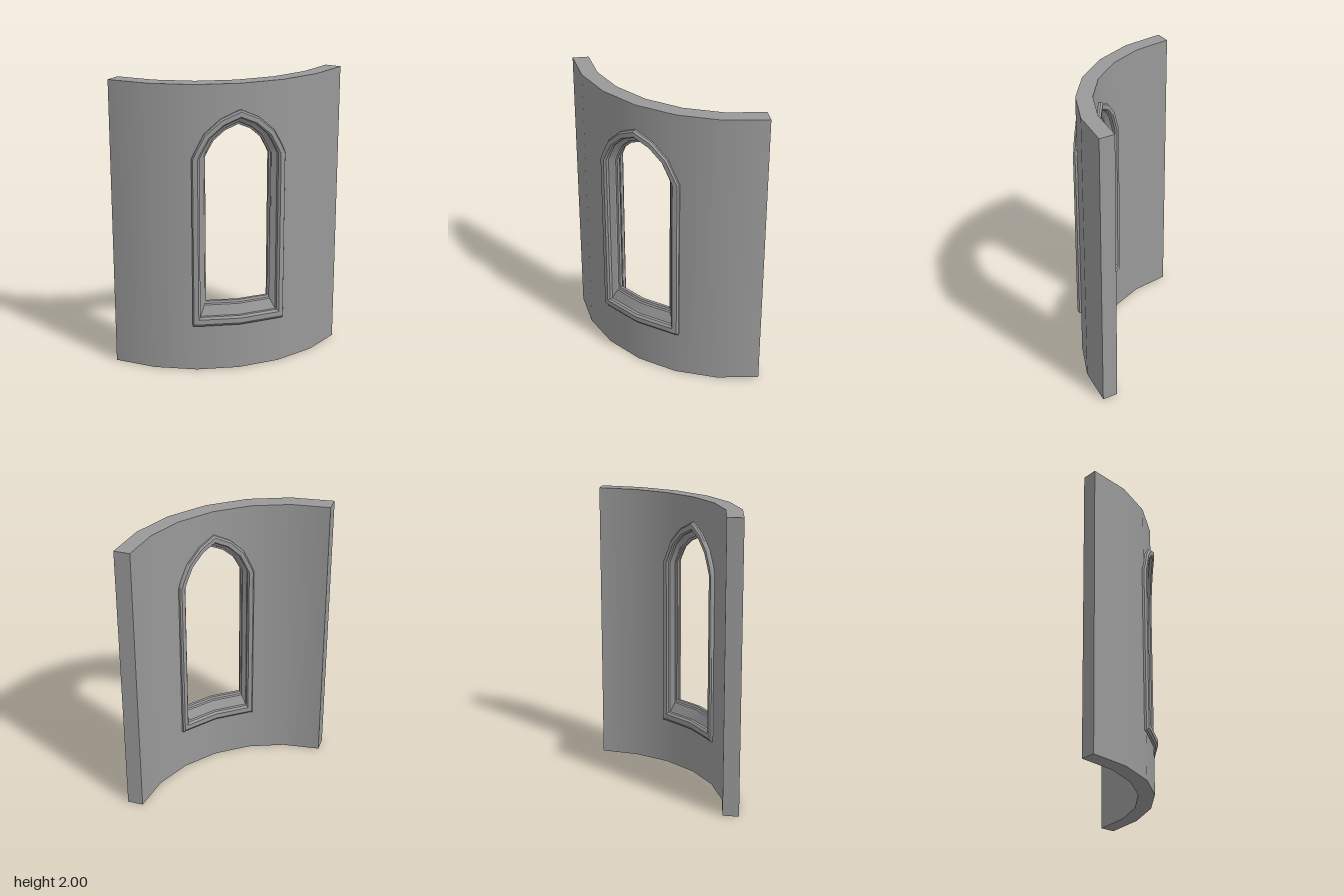
import * as THREE from 'three';
import { toCreasedNormals } from 'three/addons/utils/BufferGeometryUtils.js';

const CENTRE = -0.565, R_OUT = 1.13, R_IN = 1.02, HEIGHT = 2, STEP = 15;
const material = new THREE.MeshStandardMaterial({ color: 0x999999 });

// Radial direction; d is degrees from the middle of the wall, growing towards +x
function radial(d) {
  const t = THREE.MathUtils.degToRad(45 - d);
  return new THREE.Vector3(Math.cos(t), 0, Math.sin(t));
}

// Point on the faceted curve: straight chords between 15-degree steps
function bend(d, y, r) {
  const d0 = Math.min(Math.floor(d / STEP + 1e-6) * STEP, 45 - STEP);
  const p = radial(d0).lerp(radial(d0 + STEP), (d - d0) / STEP).multiplyScalar(r);
  return p.set(p.x + CENTRE, y, p.z + CENTRE);
}

// Collects quads, with given corner normals or a flat one
class Quads {
  pos = [];
  nor = [];
  add(p, n) {
    if (!n) {
      const flat = p[2].clone().sub(p[0]).cross(p[3].clone().sub(p[1])).normalize();
      n = [flat, flat, flat, flat];
    }
    for (const i of [0, 1, 2, 0, 2, 3]) {
      this.pos.push(p[i].x, p[i].y, p[i].z);
      this.nor.push(n[i].x, n[i].y, n[i].z);
    }
  }
  geometry() {
    const g = new THREE.BufferGeometry();
    g.setAttribute('position', new THREE.Float32BufferAttribute(this.pos, 3));
    g.setAttribute('normal', new THREE.Float32BufferAttribute(this.nor, 3));
    return g;
  }
}

// Half of the pointed arch: [width fraction, height fraction]
const ARCH = [[1, 0], [0.92, 0.17], [0.74, 0.51], [0.4, 0.815], [0, 1]];

// Curved wall made of vertical strips, leaving the pointed opening free
function wallGeometry() {
  const q = new Quads();
  const hole = { half: 15, bottom: 0.36, spring: 1.51, apex: 1.8 };

  const panel = (d0, d1, low0, low1, high0, high1) => {
    const corners = [[d0, low0], [d1, low1], [d1, high1], [d0, high0]];
    q.add(corners.map(([d, y]) => bend(d, y, R_OUT)), corners.map(([d]) => radial(d)));
    corners.reverse();
    q.add(corners.map(([d, y]) => bend(d, y, R_IN)), corners.map(([d]) => radial(d).negate()));
  };

  // Solid strips beside the opening
  for (const d of [-45, -30, 15, 30]) panel(d, d + STEP, 0, 0, HEIGHT, HEIGHT);

  // Strips under and over the opening
  const edge = ARCH.map(([w, h]) => [w * hole.half, hole.spring + h * (hole.apex - hole.spring)]);
  for (let i = 0; i < edge.length - 1; i++) {
    const [a, ya] = edge[i], [b, yb] = edge[i + 1];
    panel(-a, -b, 0, 0, hole.bottom, hole.bottom);
    panel(b, a, 0, 0, hole.bottom, hole.bottom);
    panel(-a, -b, ya, yb, HEIGHT, HEIGHT);
    panel(b, a, yb, ya, HEIGHT, HEIGHT);
  }

  // Top and bottom caps
  for (let d = -45; d < 45; d += STEP) {
    const cap = (y) => [bend(d, y, R_OUT), bend(d + STEP, y, R_OUT), bend(d + STEP, y, R_IN), bend(d, y, R_IN)];
    q.add(cap(HEIGHT));
    q.add(cap(0).reverse());
  }

  // End faces
  const end = (d, ra, rb) => q.add([bend(d, 0, ra), bend(d, 0, rb), bend(d, HEIGHT, rb), bend(d, HEIGHT, ra)]);
  end(-45, R_IN, R_OUT);
  end(45, R_OUT, R_IN);
  return q.geometry();
}

// One pointed loop around the opening, counter-clockwise from outside
function ring([half, bottom, apex, r]) {
  const spring = 1.51;
  const loop = [-1, -0.92, -0.5, 0, 0.5, 0.92, 1].map((f) => bend(f * half, bottom, r));
  const at = (s, [w, h]) => bend(s * w * half, spring + h * (apex - spring), r);
  ARCH.forEach((p) => loop.push(at(1, p)));
  ARCH.slice(0, -1).reverse().forEach((p) => loop.push(at(-1, p)));
  return loop;
}

// Window surround: raised trim, splayed reveal and narrow middle, mirrored to the inside
function surroundGeometry() {
  // half angle, bottom, apex, radius
  const front = [
    [16.3, 0.328, 1.83, 1.115],
    [16.3, 0.328, 1.83, 1.144],
    [15.8, 0.345, 1.818, 1.157],
    [14.2, 0.38, 1.785, 1.157],
    [13.6, 0.395, 1.775, 1.145],
    [13.6, 0.395, 1.775, 1.125],
    [12.2, 0.465, 1.742, 1.1],
    [12.1, 0.472, 1.738, 1.09],
    [11.6, 0.488, 1.722, 1.085],
  ];
  const back = front.map(([a, b, t, r]) => [a, b, t, R_OUT + R_IN - r]).reverse();
  const rings = [...front, ...back].map(ring);
  const q = new Quads();
  for (let i = 0; i < rings.length - 1; i++) {
    const a = rings[i], b = rings[i + 1];
    for (let j = 0; j < a.length; j++) {
      const k = (j + 1) % a.length;
      q.add([a[j], a[k], b[k], b[j]]);
    }
  }
  return toCreasedNormals(q.geometry(), 0.5);
}

export function createModel() {
  const group = new THREE.Group();
  group.name = 'curvedWallWithWindow';
  const parts = { curvedWall: wallGeometry(), windowSurround: surroundGeometry() };
  for (const [name, geometry] of Object.entries(parts)) {
    const mesh = new THREE.Mesh(geometry, material);
    mesh.name = name;
    group.add(mesh);
  }
  return group;
}
